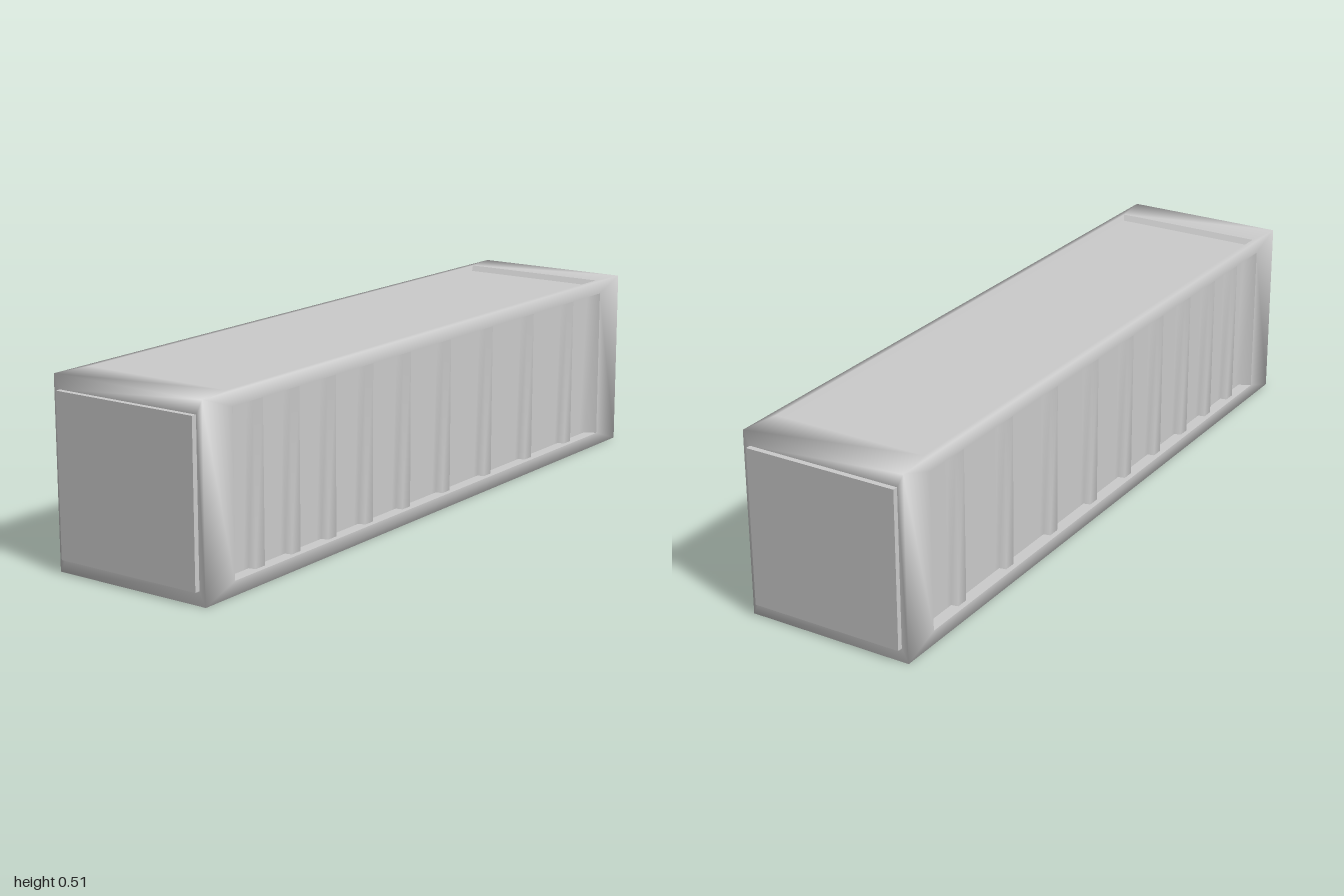
import * as THREE from 'three';
import { mergeGeometries, mergeVertices } from 'three/addons/utils/BufferGeometryUtils.js';

const X = 0.236, Y = 0.255, Z = 0.985; // half sizes of the frame
const smooth = new THREE.MeshStandardMaterial({ color: 0xcccccc });
const faceted = new THREE.MeshStandardMaterial({ color: 0xcccccc, flatShading: true });

// Rectangular loops [halfWidth, halfHeight, depth] joined in order, optionally capped
function loft(loops, cap) {
  const pos = [], idx = [];
  for (const [w, h, d] of loops) pos.push(-w, -h, d, w, -h, d, w, h, d, -w, h, d);
  for (let k = 0; k < loops.length - 1; k++) {
    for (let i = 0; i < 4; i++) {
      const j = (i + 1) % 4, a = k * 4, b = a + 4;
      idx.push(a + i, a + j, b + j, a + i, b + j, b + i);
    }
  }
  const e = (loops.length - 1) * 4;
  if (cap) idx.push(e, e + 1, e + 2, e, e + 2, e + 3);
  return fromArrays(pos, idx);
}

function fromArrays(pos, idx) {
  const g = new THREE.BufferGeometry();
  g.setAttribute('position', new THREE.Float32BufferAttribute(pos, 3));
  g.setIndex(idx);
  g.computeVertexNormals();
  return g;
}

// Corrugated sheet: flat floor with raised vertical ribs at the given positions
const RIBS = [0.757, 0.612, 0.46, 0.297, 0.125, -0.068, -0.28, -0.5, -0.725];
function corrugated(sign, halfH, floor, ribTop) {
  const profile = [[-0.875, 0], [-0.858, floor], [-0.83, floor]];
  for (const r of RIBS.map(z => z * sign).sort((a, b) => a - b)) {
    profile.push([r - 0.042, floor], [r - 0.022, floor], [r - 0.018, ribTop],
      [r + 0.018, ribTop], [r + 0.022, floor], [r + 0.042, floor]);
  }
  profile.push([0.83, floor], [0.858, floor], [0.875, 0]);
  const pos = [], idx = [];
  profile.forEach(([x, d], i) => {
    pos.push(x, -halfH, d, x, halfH, d);
    const a = i * 2;
    if (i) idx.push(a - 2, a, a + 1, a - 2, a + 1, a - 1);
  });
  return fromArrays(pos, idx);
}

export function createModel() {
  const group = new THREE.Group();
  const frameParts = [];
  const H = Math.PI / 2;
  // Each face: name, rotation, distance from centre, outer half size, opening half size
  const faces = [
    ['front', 0, 0, Z, X, Y, 0.217, 0.217],
    ['back', 0, Math.PI, Z, X, Y, 0.217, 0.217],
    ['left', 0, H, X, Z, Y, 0.875, 0.217],
    ['right', 0, -H, X, Z, Y, 0.875, 0.217],
    ['top', -H, 0, Y, X, Z, 0.22, 0.875],
    ['bottom', H, 0, Y, X, Z, 0.22, 0.875],
  ];
  for (const [name, rx, ry, dist, w, h, ow, oh] of faces) {
    const m = new THREE.Matrix4().makeRotationFromEuler(new THREE.Euler(rx, ry, 0));
    m.multiply(new THREE.Matrix4().makeTranslation(0, 0, dist));
    const add = (part, geometry, material) => {
      const mesh = new THREE.Mesh(geometry.applyMatrix4(m), material);
      mesh.name = part;
      mesh.position.y = Y;
      group.add(mesh);
    };
    // Border ring of this face
    frameParts.push(loft([[w, h, 0], [ow, oh, 0]], false).applyMatrix4(m));

    if (name === 'front' || name === 'back') {
      // Raised end door
      add(name + 'EndPanel', loft([[ow, oh, 0], [ow, oh, 0.015]], true), faceted);
    } else if (name === 'top' || name === 'bottom') {
      // Shallow recessed roof and floor
      add(name + 'Panel', loft([[ow, oh, 0], [ow - 0.005, oh - 0.012, -0.015]], true), faceted);
    } else {
      // Ribbed side wall and the lips around its recess
      add(name + 'RibbedWall', corrugated(name === 'left' ? -1 : 1, oh, -0.034, -0.015), smooth);
      add(name + 'RecessLip', loft([[ow, oh, 0], [ow, oh, -0.034]], false), faceted);
    }
  }

  // Outer frame with soft shading across its edges
  const merged = mergeGeometries(frameParts);
  merged.deleteAttribute('normal');
  const frameGeometry = mergeVertices(merged, 1e-4);
  frameGeometry.computeVertexNormals();
  const frame = new THREE.Mesh(frameGeometry, smooth);
  frame.name = 'outerFrame';
  frame.position.y = Y;
  group.add(frame);
  return group;
}
